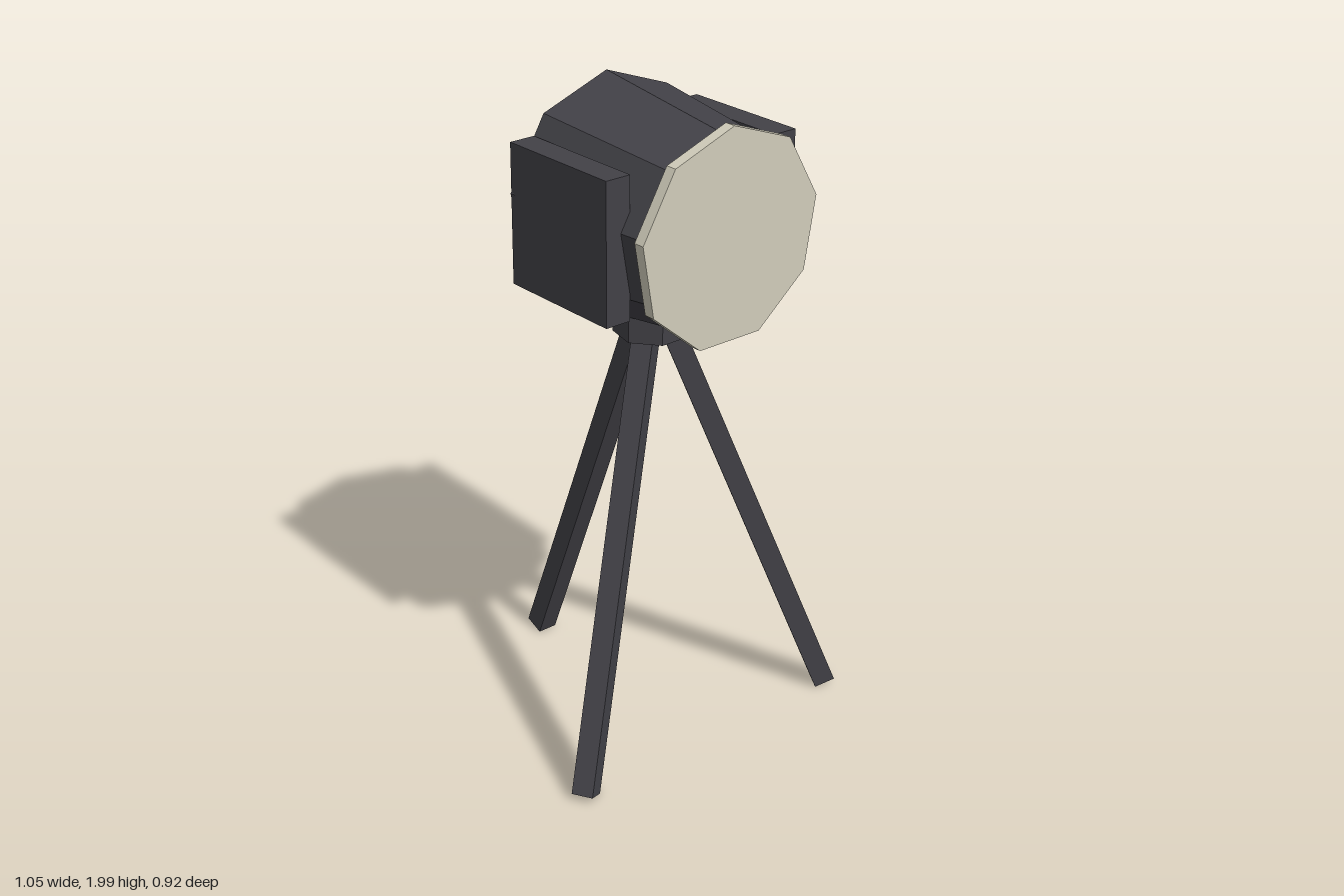
import * as THREE from 'three';

export function createModel() {
  const model = new THREE.Group();
  model.name = 'tripodSpotlight';

  const casing = new THREE.MeshStandardMaterial({ color: 0x424147, flatShading: true });
  casing.name = 'darkCasing';
  const glass = new THREE.MeshStandardMaterial({ color: 0xd0ccba, flatShading: true });
  glass.name = 'paleGlass';

  const add = (name, geometry, material, x = 0, y = 0, z = 0) => {
    const mesh = new THREE.Mesh(geometry, material);
    mesh.name = name;
    mesh.position.set(x, y, z);
    model.add(mesh);
    return mesh;
  };

  // Nine-sided prism along z with one corner pointing up
  const drum = (front, back, depth) =>
    new THREE.CylinderGeometry(front, back, depth, 9, 1, false, Math.PI).rotateX(Math.PI / 2);

  // Lamp head: wider at the back, with the glass disc in front
  add('lampHousing', drum(0.286, 0.35, 0.5), casing, 0, 1.65, 0.175);
  add('lens', drum(0.32, 0.32, 0.035), glass, 0, 1.65, 0.4425);

  // Side boxes
  for (const side of [-1, 1]) {
    add(side > 0 ? 'leftSideBox' : 'rightSideBox',
      new THREE.BoxGeometry(0.082, 0.42, 0.416), casing, side * 0.301, 1.65, 0.133);
  }

  // Seven-sided mount under the head
  const hubZ = 0.131;
  add('mount', new THREE.CylinderGeometry(0.115, 0.115, 0.08, 7, 1, false, Math.PI), casing, 0, 1.31, hubZ);

  // Three splayed square legs, one to the back
  const [topR, topY, footR, footY] = [0.042, 1.31, 0.558, 0.019];
  const length = Math.hypot(footR - topR, topY - footY);
  const tilt = Math.atan2(footR - topR, topY - footY);
  ['leftLeg', 'backLeg', 'rightLeg'].forEach((name, i) => {
    const leg = new THREE.BoxGeometry(0.065, length, 0.065);
    leg.rotateX(-tilt);
    leg.translate(0, (topY + footY) / 2, (topR + footR) / 2);
    leg.rotateY(Math.PI / 3 + i * Math.PI * 2 / 3);
    add(name, leg, casing, 0, 0, hubZ);
  });

  return model;
}
